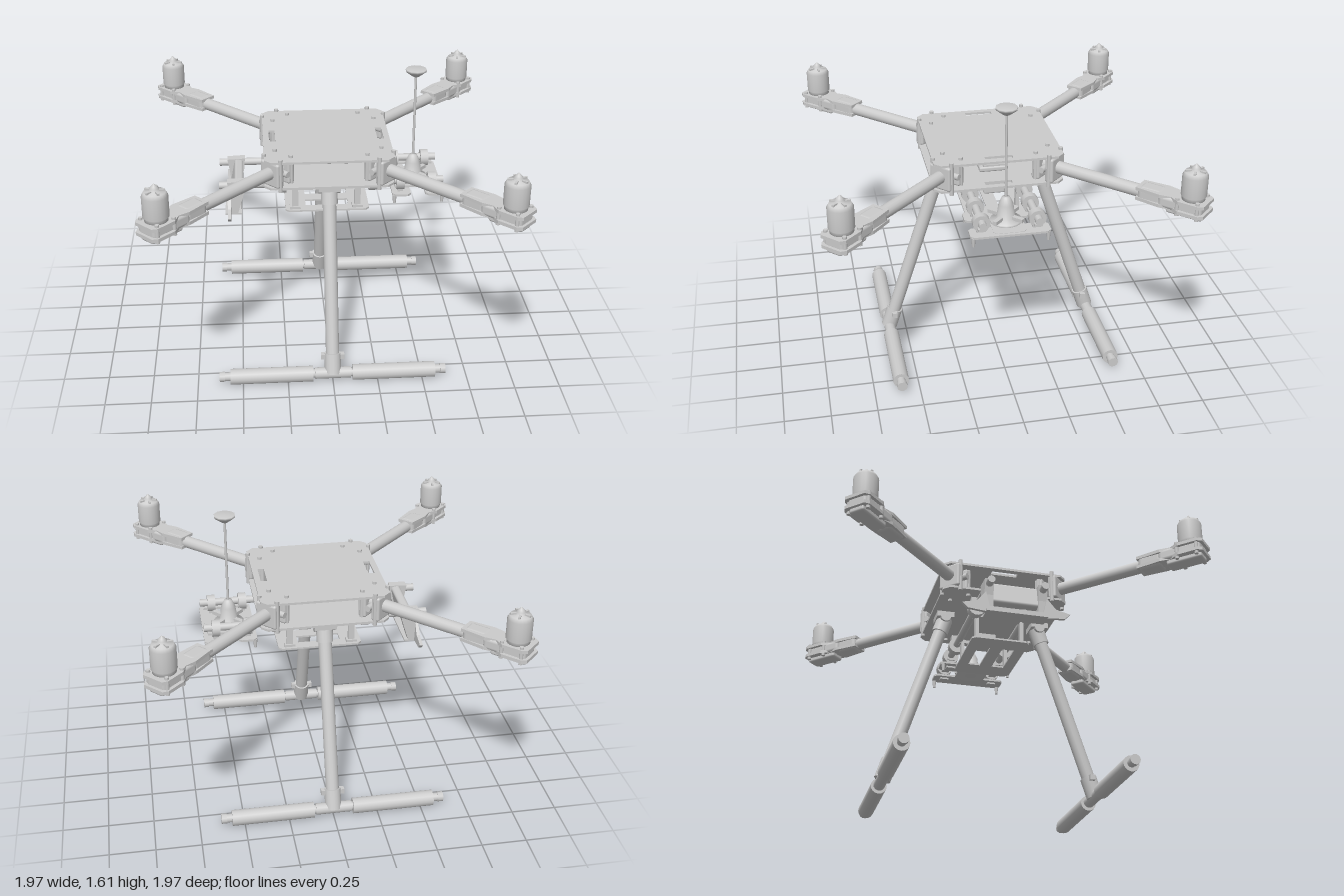
import * as THREE from 'three';
import { RoundedBoxGeometry } from 'three/addons/geometries/RoundedBoxGeometry.js';

const grey = new THREE.MeshStandardMaterial({ color: 0xcccccc, side: THREE.DoubleSide });
const V = (x, y, z) => new THREE.Vector3(x, y, z);

export function createModel() {
  const root = new THREE.Group();
  root.name = 'quadcopter';

  const add = (parent, name, geo, x = 0, y = 0, z = 0) => {
    const m = new THREE.Mesh(geo, grey);
    m.name = name;
    m.position.set(x, y, z);
    parent.add(m);
    return m;
  };
  const group = (name, parent = root) => {
    const g = new THREE.Group();
    g.name = name;
    parent.add(g);
    return g;
  };
  const box = (p, name, w, h, d, x, y, z) => add(p, name, new THREE.BoxGeometry(w, h, d), x, y, z);
  const cyl = (p, name, r, h, x, y, z, r2 = r, n = 16) => add(p, name, new THREE.CylinderGeometry(r, r2, h, n), x, y, z);
  // Round bar between two points
  const bar = (p, name, a, b, r, n = 16) => {
    const d = b.clone().sub(a);
    const m = cyl(p, name, r, d.length(), 0, 0, 0, r, n);
    m.position.copy(a).add(b).multiplyScalar(0.5);
    m.quaternion.setFromUnitVectors(V(0, 1, 0), d.normalize());
    return m;
  };
  const outline = (pts) => new THREE.Shape(pts.map(([x, y]) => new THREE.Vector2(x, y)));
  // Flat horizontal plate from a plan outline, its underside at y
  const plate = (p, name, shape, t, y, x = 0, z = 0) => {
    const g = new THREE.ExtrudeGeometry(shape, { depth: t, bevelEnabled: false });
    g.rotateX(-Math.PI / 2);
    return add(p, name, g, x, y, z);
  };
  const rectHole = (shape, x, y, w, h) => shape.holes.push(new THREE.Path([
    new THREE.Vector2(x - w / 2, y - h / 2), new THREE.Vector2(x - w / 2, y + h / 2),
    new THREE.Vector2(x + w / 2, y + h / 2), new THREE.Vector2(x + w / 2, y - h / 2)]));
  const cutRect = (w, h, c) => outline([[-w + c, -h], [w - c, -h], [w, -h + c], [w, h - c],
    [w - c, h], [-w + c, h], [-w, h - c], [-w, -h + c]]);

  // Centre frame: two plates with side slots
  const body = group('centreFrame');
  for (const [name, y] of [['topPlate', 1.225], ['bottomPlate', 1.075]]) {
    const s = cutRect(0.35, 0.355, 0.035);
    for (const x of [-0.3, 0.3]) rectHole(s, x, 0, 0.035, 0.15);
    plate(body, name, s, 0.013, y);
  }

  // Arms, each built along +x then turned to its diagonal
  const motorProfile = [[0, 1.19], [0.06, 1.19], [0.06, 1.22], [0.066, 1.225], [0.066, 1.335],
    [0.055, 1.355], [0.024, 1.36], [0.024, 1.375], [0.014, 1.385], [0, 1.4]].map(([x, y]) => new THREE.Vector2(x, y));
  const mountPlan = [[0.95, -0.05], [1.09, -0.062], [1.15, -0.05], [1.2, -0.078], [1.31, -0.078], [1.335, -0.06],
    [1.335, 0.06], [1.31, 0.078], [1.2, 0.078], [1.15, 0.05], [1.09, 0.062], [0.95, 0.05]];
  for (let i = 0; i < 4; i++) {
    const arm = group('arm' + (i + 1));
    arm.rotation.y = Math.PI / 4 + i * Math.PI / 2;
    bar(arm, 'armTube', V(0.32, 1.162, 0), V(1.2, 1.162, 0), 0.035);
    // Clamp blocks and screws at the frame corner
    for (const x of [0.35, 0.435]) {
      add(arm, 'armClamp', new RoundedBoxGeometry(0.05, 0.14, 0.13, 2, 0.012), x, 1.157, 0);
      for (const z of [-0.06, 0.06]) cyl(arm, 'frameScrew', 0.012, 0.19, x, 1.157, z, 0.012, 8);
    }
    bar(arm, 'clampPin', V(0.4, 1.16, -0.085), V(0.4, 1.16, 0.085), 0.018, 10);
    // Motor mount: sleeve, stacked plates and speed controller
    plate(arm, 'mountLowerPlate', outline(mountPlan), 0.018, 1.13);
    plate(arm, 'mountUpperPlate', outline(mountPlan), 0.018, 1.185);
    add(arm, 'mountSleeve', new RoundedBoxGeometry(0.14, 0.085, 0.1, 2, 0.025), 1.025, 1.163, 0);
    add(arm, 'mountBody', new RoundedBoxGeometry(0.24, 0.07, 0.12, 2, 0.02), 1.2, 1.165, 0);
    add(arm, 'speedController', new RoundedBoxGeometry(0.2, 0.035, 0.09, 2, 0.012), 1.22, 1.122, 0);
    for (const x of [1.19, 1.3]) for (const z of [-0.06, 0.06]) cyl(arm, 'mountScrew', 0.011, 0.1, x, 1.165, z, 0.011, 8);
    add(arm, 'motor', new THREE.LatheGeometry(motorProfile, 20), 1.25, 0, 0);
    for (let k = 0; k < 5; k++) {
      const rib = box(arm, 'motorRib', 0.05, 0.012, 0.012, 1.25, 1.36, 0);
      rib.geometry.translate(0.028, 0, 0);
      rib.rotation.y = k * Math.PI * 0.4;
    }
  }

  // Landing gear
  for (const s of [-1, 1]) {
    const gear = group(s > 0 ? 'frontLandingGear' : 'backLandingGear');
    const top = V(0, 1.05, s * 0.275), foot = V(0, 0.05, s * 0.6);
    bar(gear, 'leg', top, foot, 0.037);
    bar(gear, 'legSocket', top, top.clone().lerp(foot, 0.09), 0.046);
    bar(gear, 'legHinge', V(-0.06, 1.045, s * 0.28), V(0.06, 1.045, s * 0.28), 0.03, 12);
    box(gear, 'hingeBracket', 0.12, 0.035, 0.1, 0, 1.06, s * 0.28);
    bar(gear, 'teeSleeve', foot, foot.clone().lerp(top, 0.11), 0.046);
    box(gear, 'teeBolt', 0.13, 0.03, 0.03, 0, 0.145, s * 0.57);
    bar(gear, 'teeCross', V(-0.1, 0.052, s * 0.6), V(0.1, 0.052, s * 0.6), 0.032);
    bar(gear, 'skidTube', V(-0.63, 0.052, s * 0.6), V(0.63, 0.052, s * 0.6), 0.024);
    for (const e of [-1, 1]) {
      bar(gear, 'skidFoam', V(e * 0.11, 0.05, s * 0.6), V(e * 0.57, 0.05, s * 0.6), 0.044);
      bar(gear, 'skidCap', V(e * 0.6, 0.052, s * 0.6), V(e * 0.63, 0.052, s * 0.6), 0.029, 10);
    }
  }

  // Accessory rails with hanger rings
  const rails = group('accessoryRails');
  for (const z of [-0.15, 0.15]) {
    bar(rails, 'rail', V(-0.6, 1.015, z), V(0.645, 1.015, z), 0.021);
    for (const x of [-0.25, 0.25, 0.405, 0.58]) {
      bar(rails, 'railClamp', V(x - 0.022, 1.01, z), V(x + 0.022, 1.01, z), 0.047, 14);
      if (x < 0.3) box(rails, 'railHanger', 0.035, 0.06, 0.06, x, 1.055, z);
      else box(rails, 'trayPost', 0.03, 0.06, 0.05, x, 0.965, z);
    }
  }

  // Battery tray below the frame
  const tray = group('batteryTray');
  const floor = cutRect(0.235, 0.165, 0.02);
  rectHole(floor, 0, 0.07, 0.24, 0.07);
  rectHole(floor, 0, -0.07, 0.24, 0.07);
  plate(tray, 'trayFloor', floor, 0.01, 0.842);
  for (const x of [-0.18, 0.17]) for (const z of [-0.13, 0.13]) {
    box(tray, 'trayStrut', 0.035, 0.17, 0.02, x, 0.93, z);
    box(tray, 'trayFoot', 0.06, 0.015, 0.04, x, 0.858, z);
  }
  for (const x of [-0.18, 0.17]) box(tray, 'trayCrossbar', 0.04, 0.02, 0.3, x, 1.0, 0);

  // Electronics on and under the bottom plate
  const gearBox = group('electronics');
  add(gearBox, 'flightController', new RoundedBoxGeometry(0.24, 0.03, 0.16, 2, 0.01), 0.05, 1.105, 0);
  box(gearBox, 'circuitBoard', 0.27, 0.01, 0.12, 0.04, 1.13, 0);
  box(gearBox, 'powerBoard', 0.3, 0.025, 0.24, 0.0, 1.055, 0);
  add(gearBox, 'receiver', new RoundedBoxGeometry(0.09, 0.11, 0.12, 2, 0.01), 0.145, 1.02, 0);

  // Camera cradle on the right: tapered bracket and wide curved shield
  const cradle = group('cradle');
  for (const z of [-0.15, 0.15]) {
    const g = new THREE.ExtrudeGeometry(outline([[-0.555, 1.04], [-0.455, 1.045], [-0.46, 0.98], [-0.5, 0.85],
      [-0.535, 0.85], [-0.54, 0.95]]), { depth: 0.05, bevelEnabled: false });
    add(cradle, 'cradleArm', g, 0, 0, z - 0.025);
  }
  add(cradle, 'cradlePanel', new RoundedBoxGeometry(0.05, 0.13, 0.33, 2, 0.015), -0.5, 0.975, 0).rotation.z = -0.2;
  const shield = new THREE.ExtrudeGeometry(outline([[-0.3, 0.88], [-0.27, 0.85], [-0.16, 0.84], [0.16, 0.84], [0.27, 0.85],
    [0.3, 0.88], [0.22, 0.9], [0.17, 0.96], [0.15, 0.875], [-0.15, 0.875], [-0.17, 0.96], [-0.22, 0.9]]),
  { depth: 0.018, bevelEnabled: false });
  shield.rotateY(Math.PI / 2);
  add(cradle, 'cradleShield', shield, -0.555, 0, 0);
  box(cradle, 'cradleFoot', 0.09, 0.01, 0.34, -0.525, 0.845, 0);

  // Camera and aerial tray on the left
  const payload = group('payloadTray');
  for (const x of [0.41, 0.595]) {
    const s = cutRect(0.052, 0.215, 0.018);
    rectHole(s, 0, 0, 0.04, 0.18);
    plate(payload, 'trayPlate', s, 0.012, 0.945, x);
    for (const z of [-0.2, 0.2]) cyl(payload, 'damper', 0.012, 0.05, x + (x > 0.5 ? 0.04 : -0.04), 0.925, z, 0.008, 8);
  }
  plate(payload, 'trayBridge', cutRect(0.13, 0.09, 0.02), 0.014, 0.945, 0.5);
  for (const z of [-0.15, 0.15]) box(payload, 'sideBar', 0.25, 0.012, 0.045, 0.5, 0.985, z);
  add(payload, 'sensorDome', new THREE.LatheGeometry([[0, 0.94], [0.085, 0.945], [0.085, 0.97], [0.05, 0.985], [0.04, 1.06],
    [0.022, 1.1], [0, 1.105]].map(([x, y]) => new THREE.Vector2(x, y)), 18), 0.495, 0, 0);
  for (let k = 0; k < 4; k++) {
    const fin = box(payload, 'sensorBrace', 0.1, 0.02, 0.025, 0.495, 0.99, 0);
    fin.geometry.translate(0.06, 0, 0);
    fin.rotation.y = Math.PI / 4 + k * Math.PI / 2;
  }
  bar(payload, 'aerialMast', V(0.495, 1.05, 0), V(0.495, 1.585, 0), 0.007, 8);
  add(payload, 'aerialHead', new THREE.LatheGeometry([[0, 1.565], [0.018, 1.57], [0.058, 1.6], [0.058, 1.612], [0, 1.612]]
    .map(([x, y]) => new THREE.Vector2(x, y)), 10), 0.495, 0, 0);

  return root;
}
